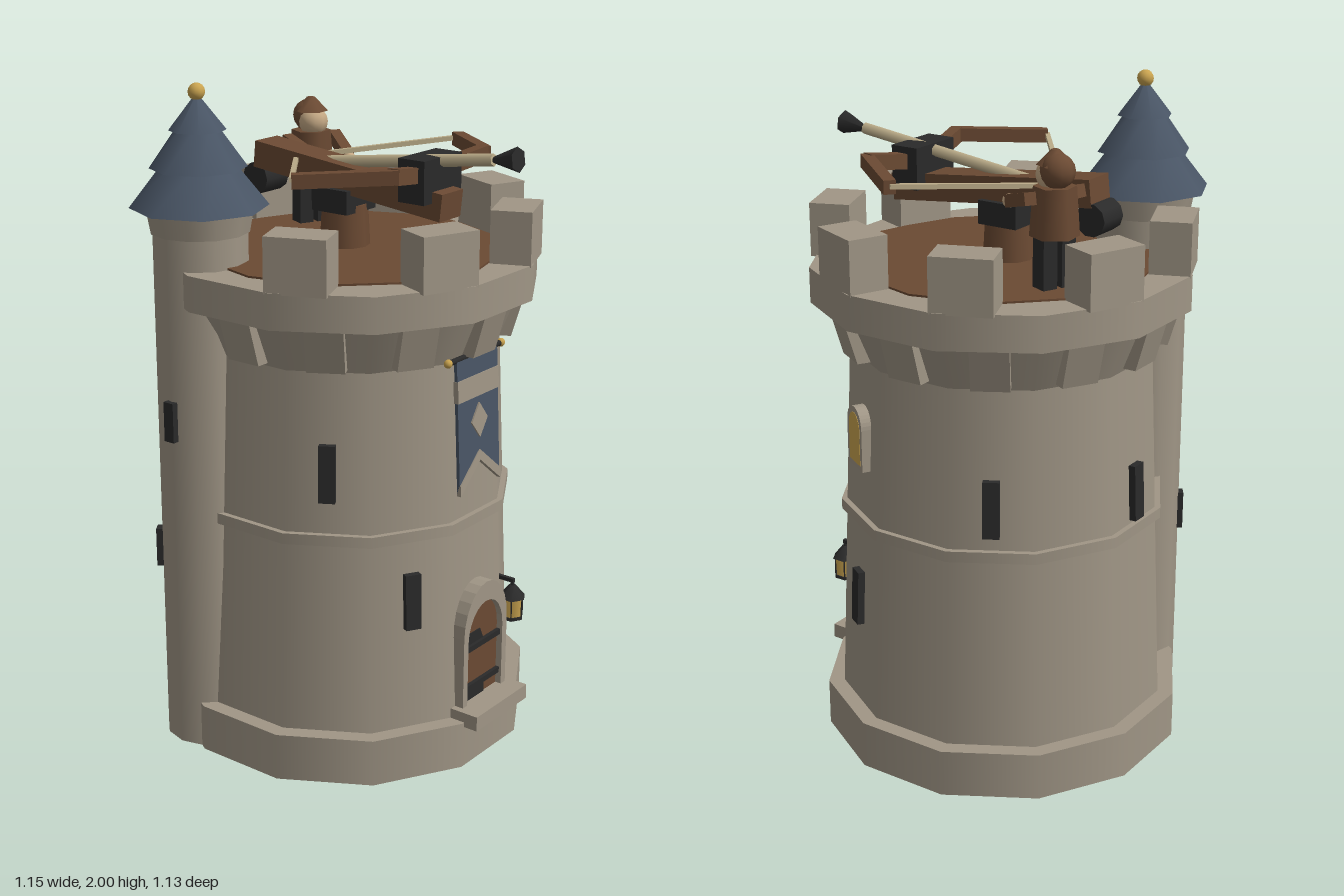
import * as THREE from 'three';

const mat = (name, color) => {
  const m = new THREE.MeshStandardMaterial({ color });
  m.name = name;
  return m;
};
const V = (x, y, z) => new THREE.Vector3(x, y, z);

export function createModel() {
  const stone = mat('stone', 0xa09686);
  stone.side = THREE.DoubleSide;
  const wood = mat('wood', 0x6b4a33);
  const slate = mat('slateBlue', 0x495565);
  const iron = mat('iron', 0x2a2a2a);
  const gold = mat('gold', 0xcaa450);
  const rope = mat('paleWood', 0xbaab88);
  const skin = mat('skin', 0xc6aa86);

  const root = new THREE.Group();
  root.name = 'watchtower';
  const CX = 0.025, CZ = -0.02, D30 = Math.PI / 6;

  // helpers
  const add = (parent, geo, m, name, x = 0, y = 0, z = 0) => {
    const mesh = new THREE.Mesh(geo, m);
    mesh.name = name;
    mesh.position.set(x, y, z);
    parent.add(mesh);
    return mesh;
  };
  const box = (p, m, name, w, h, d, x, y, z) => add(p, new THREE.BoxGeometry(w, h, d), m, name, x, y, z);
  // cylinder spanning y0..y1
  const cyl = (p, m, name, rTop, rBot, y0, y1, n, x = 0, z = 0, turn = 0, open = false) => {
    const c = add(p, new THREE.CylinderGeometry(rTop, rBot, y1 - y0, n, 1, open), m, name, x, (y0 + y1) / 2, z);
    c.rotation.y = turn;
    return c;
  };
  const extrude = (p, shape, depth, m, name, x, y, z, curveSegments = 8) =>
    add(p, new THREE.ExtrudeGeometry(shape, { depth, bevelEnabled: false, curveSegments }), m, name, x, y, z);
  const poly = pts => new THREE.Shape(pts.map(([x, y]) => new THREE.Vector2(x, y)));
  // box running from a to b
  const beam = (p, m, name, a, b, w, h) => {
    const mesh = new THREE.Mesh(new THREE.BoxGeometry(w, h, a.distanceTo(b)), m);
    mesh.name = name;
    mesh.position.copy(a).lerp(b, 0.5);
    mesh.lookAt(b);
    p.add(mesh);
    return mesh;
  };
  // group facing outward at an angle measured from the front
  const facing = (p, name, angle) => {
    const g = new THREE.Group();
    g.name = name;
    g.rotation.y = angle;
    p.add(g);
    return g;
  };
  const arch = (w, y0, y1, rise) => {
    const s = new THREE.Shape();
    s.moveTo(-w, y0);
    s.lineTo(w, y0);
    s.lineTo(w, y1);
    s.absellipse(0, y1, w, rise, 0, Math.PI, false);
    s.lineTo(-w, y0);
    return s;
  };
  const wall = y => 0.488 - 0.043 * (y - 0.145);

  // main tower, twelve sided with a flat side to the front
  const tower = new THREE.Group();
  tower.name = 'tower';
  tower.position.set(CX, 0, CZ);
  root.add(tower);
  const flat = 1 / Math.cos(Math.PI / 12), T = Math.PI / 12;
  // hollow plinth, open below
  cyl(tower, stone, 'plinth', 0.535 * flat, 0.535 * flat, 0, 0.145, 12, 0, 0, T, true);
  const ledge = add(tower, new THREE.RingGeometry(0.48, 0.535 * flat, 12, 1, T), stone, 'plinthLedge', 0, 0.145, 0);
  ledge.rotation.x = -Math.PI / 2;
  cyl(tower, stone, 'towerWall', wall(1.24) * flat, wall(0.14) * flat, 0.14, 1.24, 12, 0, 0, T);
  cyl(tower, stone, 'flare', 0.5 * flat, wall(1.24) * flat, 1.24, 1.387, 12, 0, 0, T);
  cyl(tower, stone, 'stringCourse', 0.478 * flat, 0.478 * flat, 0.73, 0.763, 12, 0, 0, T);
  cyl(tower, stone, 'parapetRing', 0.547 * flat, 0.547 * flat, 1.385, 1.49, 12, 0, 0, T);
  cyl(tower, wood, 'deck', 0.458, 0.458, 1.48, 1.496, 12);

  // corbels below the parapet
  const corbelShape = poly([[0.4, 1.25], [0.485, 1.25], [0.525, 1.388], [0.4, 1.388]]);
  for (let i = 0; i < 12; i++) {
    const c = extrude(facing(tower, 'corbelMount', i * D30), corbelShape, 0.11, stone, 'corbel', 0.055, 0, 0);
    c.rotation.y = -Math.PI / 2;
  }
  // merlons, one place taken by the turret
  for (let i = 0; i < 8; i++) {
    if (i === 5) continue;
    box(facing(tower, 'merlonMount', Math.PI / 8 + i * Math.PI / 4), stone, 'merlon', 0.178, 0.16, 0.12, 0, 1.565, 0.497);
  }
  // arrow slits: [steps of 30 degrees, height]
  for (const [k, y] of [[-1, 0.545], [-2, 0.945], [2, 0.495], [4, 0.89], [6, 0.86]]) {
    const s = box(facing(tower, 'slitMount', k * D30), iron, 'arrowSlit', 0.048, 0.17, 0.035, 0, y, wall(y) + 0.004);
    s.rotation.x = -0.043;
  }
  // lit window
  const win = facing(tower, 'window', 2 * D30);
  const winFrame = arch(0.055, 0.915, 1.045, 0.058);
  winFrame.holes.push(arch(0.039, 0.931, 1.04, 0.044));
  extrude(win, winFrame, 0.045, stone, 'windowFrame', 0, 0, 0.435);
  extrude(win, arch(0.04, 0.93, 1.04, 0.045), 0.044, gold, 'windowPane', 0, 0, 0.437);

  // door, frame and step
  const door = facing(tower, 'door', 0);
  const frame = arch(0.113, 0.16, 0.4, 0.15);
  frame.holes.push(arch(0.09, 0.17, 0.38, 0.108));
  extrude(door, frame, 0.06, stone, 'doorFrame', 0, 0, 0.455, 6);
  extrude(door, arch(0.091, 0.165, 0.38, 0.109), 0.045, wood, 'doorLeaf', 0, 0, 0.45, 6);
  for (const y of [0.222, 0.35]) box(door, iron, 'doorBand', 0.18, 0.018, 0.014, 0, y, 0.5);
  extrude(door, poly([[-0.09, 0.355], [0.015, 0.355], [-0.005, 0.395], [-0.09, 0.395]]), 0.004, iron, 'doorPlate', 0, 0, 0.494);
  box(door, iron, 'kickPlate', 0.11, 0.04, 0.006, -0.035, 0.195, 0.496);
  box(door, stone, 'doorStep', 0.268, 0.046, 0.14, 0, 0.153, 0.51);

  // lantern beside the door
  const lantern = new THREE.Group();
  lantern.name = 'lantern';
  lantern.position.set(0.148, 0, 0.51);
  tower.add(lantern);
  cyl(lantern, iron, 'lanternBase', 0.037, 0.037, 0.378, 0.388, 6);
  cyl(lantern, gold, 'lanternGlass', 0.036, 0.033, 0.388, 0.446, 6);
  for (let i = 0; i < 6; i++) {
    box(facing(lantern, 'lanternBarMount', i * Math.PI / 3), iron, 'lanternBar', 0.004, 0.058, 0.004, 0, 0.417, 0.035);
  }
  cyl(lantern, iron, 'lanternRoof', 0.01, 0.043, 0.446, 0.485, 6);
  cyl(lantern, iron, 'lanternStem', 0.007, 0.007, 0.48, 0.505, 6);
  beam(lantern, iron, 'lanternBracket', V(0, 0.5, 0.005), V(0, 0.5, -0.06), 0.012, 0.012);

  // banner, hanging slightly away from the wall
  const banner = facing(tower, 'banner', 0);
  banner.position.z = 0.05;
  banner.rotation.x = -0.05;
  const rod = cyl(banner, iron, 'bannerRod', 0.009, 0.009, 1.095, 1.355, 8, 0, 0.465);
  rod.rotation.z = Math.PI / 2;
  for (const s of [-1, 1]) {
    add(banner, new THREE.SphereGeometry(0.013, 8, 6), gold, 'rodKnob', s * 0.133, 1.225, 0.465);
    // trim along the swallow tail
    extrude(banner, poly([[0, 0.905], [s * 0.102, 0.82], [s * 0.102, 0.852], [0, 0.937]]),
      0.014, stone, 'bannerTrim', 0, 0, 0.463);
  }
  extrude(banner, poly([[-0.102, 1.222], [-0.102, 0.83], [0, 0.912], [0.102, 0.83], [0.102, 1.222]]),
    0.01, slate, 'bannerCloth', 0, 0, 0.463);
  box(banner, stone, 'bannerBand', 0.206, 0.065, 0.016, 0, 1.132, 0.468);
  extrude(banner, poly([[0, 0.975], [0.04, 1.027], [0, 1.08], [-0.04, 1.027]]), 0.006, stone, 'bannerDiamond', 0, 0, 0.472);

  // corner turret with a three tier roof
  const turret = new THREE.Group();
  turret.name = 'turret';
  turret.position.set(-0.373, 0, -0.252);
  root.add(turret);
  cyl(turret, stone, 'turretWall', 0.14, 0.142, 0, 1.6, 12, 0, 0, 0, true);
  cyl(turret, stone, 'turretCollar', 0.158, 0.145, 1.58, 1.652, 12);
  [[0.2, 0.09, 1.65, 1.79], [0.14, 0.05, 1.762, 1.89], [0.082, 0.004, 1.868, 1.968]].forEach(([rb, rt, y0, y1]) =>
    cyl(turret, slate, 'roofTier', rt, rb, y0, y1, 8));
  add(turret, new THREE.SphereGeometry(0.025, 10, 8), gold, 'finial', 0, 1.975, 0);
  for (const [a, y] of [[-Math.PI / 2, 1.04], [-2.55, 0.6]]) {
    box(facing(turret, 'turretSlitMount', a), iron, 'turretSlit', 0.036, 0.12, 0.035, 0, y, 0.138);
  }

  // siege crossbow
  const bow = new THREE.Group();
  bow.name = 'siegeCrossbow';
  bow.position.x = CX + 0.002;
  root.add(bow);
  cyl(bow, wood, 'pedestal', 0.068, 0.075, 1.49, 1.62, 10, 0, -0.04);
  box(bow, iron, 'swivel', 0.138, 0.07, 0.13, 0, 1.635, -0.045);
  beam(bow, wood, 'stock', V(0, 1.735, -0.345), V(0, 1.662, 0.34), 0.102, 0.08);
  box(bow, iron, 'bowBlock', 0.182, 0.125, 0.09, 0, 1.735, 0.265);
  const winch = cyl(bow, iron, 'winch', 0.048, 0.048, 1.61, 1.71, 10, 0, -0.345);
  winch.rotation.z = Math.PI / 2;
  for (const s of [-1, 1]) {
    beam(bow, wood, 'bowArmInner', V(s * 0.06, 1.75, 0.265), V(s * 0.222, 1.775, 0.3), 0.035, 0.045);
    beam(bow, wood, 'bowArmOuter', V(s * 0.21, 1.775, 0.31), V(s * 0.395, 1.765, 0.085), 0.035, 0.04);
    beam(bow, rope, 'bowString', V(s * 0.395, 1.768, 0.085), V(s * 0.03, 1.735, -0.2), 0.014, 0.014);
  }
  // loaded bolt
  const bolt = new THREE.Group();
  bolt.name = 'bolt';
  bolt.position.set(0, 1.808, 0.47);
  bolt.rotation.x = Math.PI / 2 - 0.13;
  bow.add(bolt);
  cyl(bolt, rope, 'boltShaft', 0.018, 0.018, -0.7, 0.01, 6);
  cyl(bolt, iron, 'boltHead', 0.036, 0.004, -0.005, 0.09, 6);

  // guard working the crossbow
  const guard = facing(root, 'guard', -0.42);
  guard.position.set(0.2, 0, -0.308);
  for (const s of [-1, 1]) {
    box(guard, iron, 'leg', 0.045, 0.16, 0.055, s * 0.03, 1.57, 0);
    beam(guard, wood, 'arm', V(s * 0.082, 1.755, -0.005), V(s * 0.055, 1.715, 0.14), 0.034, 0.036);
    add(guard, new THREE.SphereGeometry(0.02, 8, 6), skin, 'hand', s * 0.053, 1.712, 0.15);
  }
  cyl(guard, wood, 'tunic', 0.06, 0.07, 1.64, 1.78, 6);
  add(guard, new THREE.SphereGeometry(0.05, 10, 8), wood, 'hood', 0, 1.822, -0.012);
  add(guard, new THREE.SphereGeometry(0.046, 10, 8), skin, 'face', 0, 1.808, 0.014);
  cyl(guard, wood, 'cap', 0.012, 0.053, 1.838, 1.88, 6);

  return root;
}
